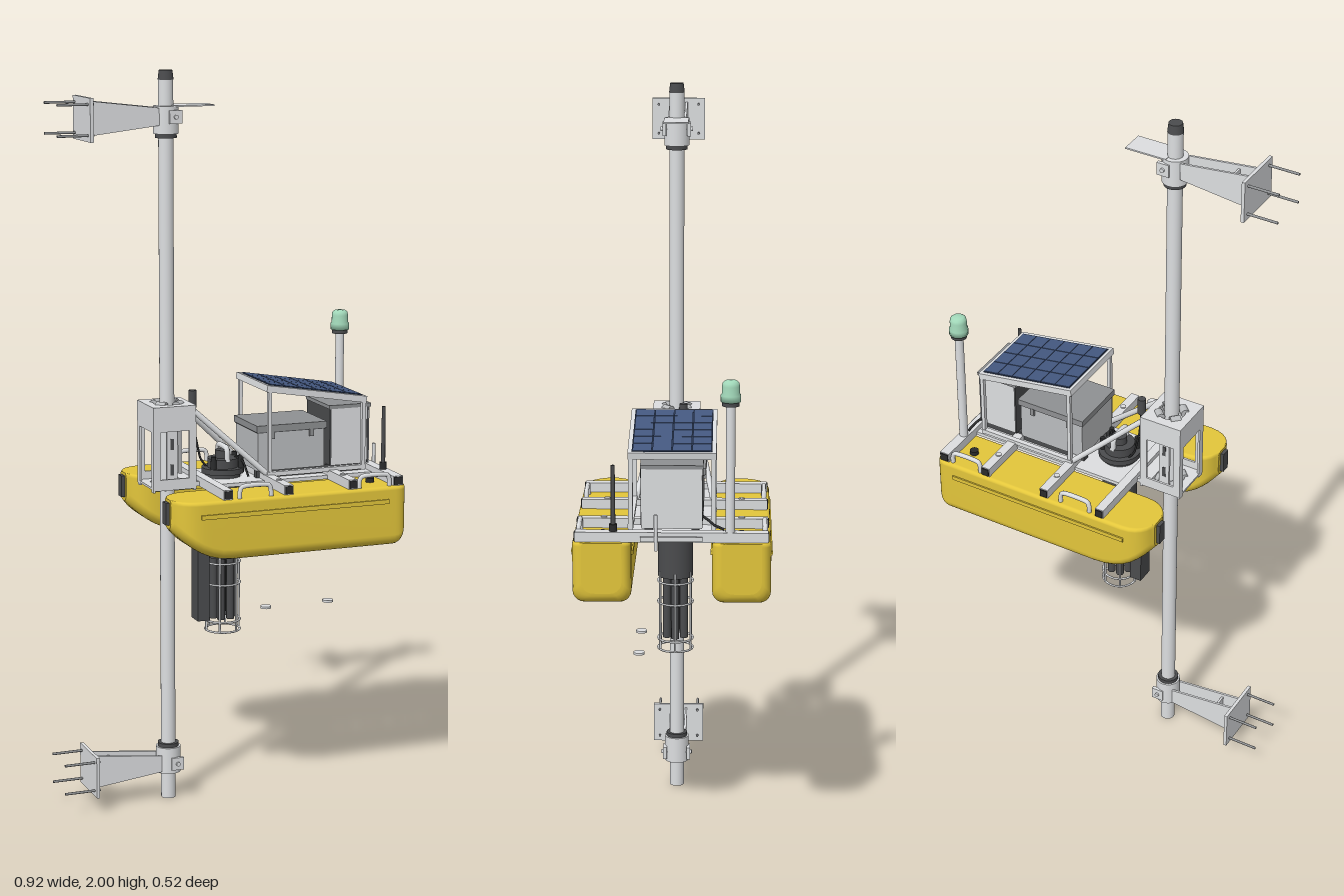
import * as THREE from 'three';

const M = {};
for (const [name, color] of Object.entries({
  hullYellow: 0xe3c63b, lightMetal: 0xdcdee0, midGrey: 0xbabcbe, lidGrey: 0x8e9092, darkGrey: 0x4b4c4e,
  black: 0x2a2b2c, cellBlue: 0x445880, gridDark: 0x26334d, lampGreen: 0xa3dabb,
})) M[name] = new THREE.MeshStandardMaterial({ name, color });
M.lightMetal.side = THREE.DoubleSide;

const V = (x, y, z) => new THREE.Vector3(x, y, z);
const V2 = pts => pts.map(p => new THREE.Vector2(...p));

function add(parent, name, geo, mat, x = 0, y = 0, z = 0) {
  const m = new THREE.Mesh(geo, mat);
  m.name = name;
  m.position.set(x, y, z);
  parent.add(m);
  return m;
}
const box = (p, name, mat, sx, sy, sz, x, y, z) => add(p, name, new THREE.BoxGeometry(sx, sy, sz), mat, x, y, z);
// upright cylinder from y0 to y1
const cyl = (p, name, mat, r, y0, y1, x, z, r2 = r, seg = 24) =>
  add(p, name, new THREE.CylinderGeometry(r2, r, y1 - y0, seg), mat, x, (y0 + y1) / 2, z);
// round bar between two points
function rod(p, name, mat, r, a, b, seg = 10) {
  const d = b.clone().sub(a);
  const m = add(p, name, new THREE.CylinderGeometry(r, r, d.length(), seg), mat);
  m.position.copy(a).addScaledVector(d, 0.5);
  m.quaternion.setFromUnitVectors(V(0, 1, 0), d.normalize());
  return m;
}
function ring(p, name, mat, R, r, x, y, z) {
  const m = add(p, name, new THREE.TorusGeometry(R, r, 6, 24), mat, x, y, z);
  m.rotation.x = Math.PI / 2;
  return m;
}
const tube = (p, name, mat, r, pts, tension = 0.2) =>
  add(p, name, new THREE.TubeGeometry(new THREE.CatmullRomCurve3(pts, false, 'catmullrom', tension), 28, r, 8), mat);
const extrude = (shape, depth) => new THREE.ExtrudeGeometry(shape, { depth, bevelEnabled: false, curveSegments: 24 });

// pontoon hull: rounded-rectangle sections swept along x
function hullGeometry() {
  const x0 = -0.207, x1 = 0.455, top = 0.89, bottom = 0.725, half = 0.076;
  const xs = [0, 0.002, 0.006, 0.013, 0.023, 0.036, 0.053, 0.075, 0.1, 0.13, 0.165].map(d => x0 + d)
    .concat([0.05, 0.035, 0.025, 0.016, 0.009, 0.004, 0.001, 0].map(d => x1 - d));
  const round = (d, R, p) => d >= R ? 1 : Math.pow(1 - Math.pow(1 - d / R, p), 1 / p);
  const pos = [], idx = [], loops = xs.map(x => {
    const w = half * Math.max(0.3, round(x - x0, 0.08, 2.3)) * (0.68 + 0.32 * round(x1 - x, 0.03, 2));
    const t = Math.max(0, 1 - (x - x0) / 0.165);
    const b = bottom + 0.085 * Math.pow(t, 2.2) + 0.03 * (1 - round(x1 - x, 0.035, 2));
    const loop = [];
    for (const [sz, sy, q] of [[1, 1, 0], [1, -1, 1], [-1, -1, 2], [-1, 1, 3]]) {
      const r = Math.min(sy > 0 ? 0.01 : 0.03, w * 0.8);
      for (let k = 0; k <= 5; k++) {
        const a = (q + k / 5) * Math.PI / 2;
        loop.push([x, (sy > 0 ? top - r : b + r) + r * Math.cos(a), sz * (w - r) + r * Math.sin(a)]);
      }
    }
    return loop;
  });
  const n = loops[0].length;
  loops.forEach(l => l.forEach(p => pos.push(...p)));
  for (let i = 0; i < xs.length - 1; i++) for (let j = 0; j < n; j++) {
    const a = i * n + j, b = i * n + (j + 1) % n;
    idx.push(a, b, b + n, a, b + n, a + n);
  }
  // end caps with their own vertices
  for (const [loop, flip] of [[loops[0], true], [loops[xs.length - 1], false]]) {
    const c = pos.length / 3;
    pos.push(loop[0][0], 0.84, 0);
    loop.forEach(p => pos.push(...p));
    for (let j = 0; j < n; j++) {
      const a = c + 1 + j, b = c + 1 + (j + 1) % n;
      idx.push(c, flip ? b : a, flip ? a : b);
    }
  }
  const g = new THREE.BufferGeometry();
  g.setAttribute('position', new THREE.Float32BufferAttribute(pos, 3));
  g.setIndex(idx);
  g.computeVertexNormals();
  return g;
}

// wall bracket clamped on the pole; s = 1 upper, -1 lower (mirrored in height)
function wallBracket(s) {
  const g = new THREE.Group(), px = -0.143;
  box(g, 'wallPlate', M.lightMetal, 0.009, 0.114, 0.145, -0.371, 0, 0);
  const arm = new THREE.Shape(V2([[-0.368, 0.047], [-0.368, -0.045], [-0.17, -0.022], [-0.17, 0.024]]));
  for (const z of [-0.022, 0.022]) add(g, 'taperedArm', extrude(arm, 0.006), M.lightMetal, 0, 0, z - 0.003);
  box(g, 'armBrace', M.lightMetal, 0.006, 0.06, 0.04, -0.312, 0, 0);
  for (const y of [-0.04, 0.04]) for (const z of [-0.055, 0.055])
    rod(g, 'anchorStud', M.lidGrey, 0.0035, V(-0.46, y, z), V(-0.36, y, z));
  const lo = s > 0 ? -0.045 : -0.028, hi = s > 0 ? 0.028 : 0.045;
  cyl(g, 'clampCollar', M.lightMetal, 0.034, lo, hi, px, 0);
  cyl(g, 'collarRim', M.darkGrey, 0.029, s > 0 ? -0.056 : 0.045, s > 0 ? -0.045 : 0.056, px, 0);
  for (const z of [-0.033, 0.033]) box(g, 'clampLug', M.lightMetal, 0.035, 0.035, 0.01, px + 0.015, 0, z);
  rod(g, 'clampBolt', M.lightMetal, 0.006, V(px + 0.015, 0, -0.043), V(px + 0.015, 0, 0.043));
  return g;
}

export function createModel() {
  const root = new THREE.Group();
  root.name = 'mooredMonitoringFloat';
  const group = name => { const g = new THREE.Group(); g.name = name; root.add(g); return g; };
  const px = -0.143;

  // mooring pole and its wall brackets
  const pole = group('mooringPole');
  cyl(pole, 'poleTube', M.lightMetal, 0.02, 0, 1.98, px, 0, 0.02, 32);
  cyl(pole, 'poleCap', M.darkGrey, 0.021, 1.975, 2, px, 0, 0.018);
  for (const [s, y, name] of [[1, 1.879, 'upperBracket'], [-1, 0.103, 'lowerBracket']]) {
    const b = wallBracket(s);
    b.name = name;
    b.position.y = y;
    root.add(b);
  }
  box(pole, 'topPlate', M.lightMetal, 0.115, 0.004, 0.066, -0.076, 1.907, 0);

  // pontoons with rails, plugs, handles
  const hull = hullGeometry();
  for (const s of [-1, 1]) {
    const p = group(s > 0 ? 'frontPontoon' : 'rearPontoon');
    add(p, 'hull', hull, M.hullYellow, 0, 0, s * 0.18);
    for (const k of [-1, 1])
      box(p, 'rubbingStrip', M.hullYellow, 0.54, 0.012, 0.006, 0.13, 0.85, s * 0.18 + k * 0.077);
    box(p, 'endPlug', M.darkGrey, 0.014, 0.06, 0.026, -0.21, 0.852, s * 0.18);
    cyl(p, 'fillerCap', M.black, 0.012, 0.885, 0.902, 0.377, s * 0.18);
    for (const x of [0.018, 0.363]) {
      const z = s * 0.24, h = 0.922;
      tube(p, 'handle', M.lightMetal, 0.0065, [V(x - 0.045, 0.885, z), V(x - 0.043, 0.912, z), V(x - 0.03, h, z),
        V(x + 0.03, h, z), V(x + 0.043, 0.912, z), V(x + 0.045, 0.885, z)], 0.5);
    }
  }

  // deck frame
  const deck = group('deckFrame');
  for (const [x, w] of [[-0.062, 0.025], [0.111, 0.025], [0.297, 0.025], [0.43, 0.028]]) {
    box(deck, 'crossBeam', M.lightMetal, w, 0.026, 0.496, x, 0.903, 0);
    for (const s of [-1, 1]) {
      box(deck, 'beamEnd', M.black, w * 0.85, 0.021, 0.004, x, 0.903, s * 0.249);
      if (x > 0.1 && x < 0.3) cyl(deck, 'beamBolt', M.lightMetal, 0.008, 0.914, 0.919, x, s * 0.18);
    }
  }
  // deck plate with a round well for the probe
  const plate = new THREE.Shape(V2([[-0.072, -0.105], [0.44, -0.105], [0.44, 0.105], [-0.072, 0.105]]));
  plate.holes.push(new THREE.Path().absarc(0.018, 0, 0.05, 0, Math.PI * 2, true));
  add(deck, 'deckPlate', extrude(plate, 0.01), M.lightMetal, 0, 0.9, 0).rotation.x = Math.PI / 2;
  box(deck, 'endStep', M.lightMetal, 0.025, 0.012, 0.16, 0.44, 0.9, 0);
  rod(deck, 'sternRod', M.lightMetal, 0.005, V(0.452, 0.87, 0.04), V(0.452, 0.965, 0.04));

  // sliding guide cage around the pole
  const cage = group('poleGuide');
  const side = new THREE.Shape(V2([[-0.205, 0.885], [-0.083, 0.885], [-0.083, 1.112], [-0.205, 1.112]]));
  side.holes.push(new THREE.Path(V2([[-0.185, 0.915], [-0.185, 1.045], [-0.103, 1.045], [-0.103, 0.915]])));
  for (const z of [-0.062, 0.062]) add(cage, 'guideSide', extrude(side, 0.006), M.lightMetal, 0, 0, z - 0.003);
  for (const x of [-0.202, -0.086]) {
    box(cage, 'guideEnd', M.lightMetal, 0.006, 0.067, 0.125, x, 1.078, 0);
    for (const z of [-0.055, 0.055]) box(cage, 'guidePost', M.lightMetal, 0.006, 0.17, 0.018, x, 0.965, z);
  }
  for (const y of [0.89, 1.11]) {
    const s = new THREE.Shape(V2([[-0.205, -0.065], [-0.083, -0.065], [-0.083, 0.065], [-0.205, 0.065]]));
    s.holes.push(new THREE.Path().absarc(px, 0, 0.038, 0, Math.PI * 2, true));
    add(cage, 'guidePlate', extrude(s, 0.006), M.lightMetal, 0, y + 0.003, 0).rotation.x = Math.PI / 2;
    for (let i = 0; i < 4; i++) {
      const a = Math.PI / 4 + i * Math.PI / 2, c = V(px + Math.cos(a) * 0.034, y - 0.002, Math.sin(a) * 0.034);
      const t = V(-Math.sin(a), 0, Math.cos(a)).multiplyScalar(0.014);
      rod(cage, 'guideRoller', M.midGrey, 0.012, c.clone().sub(t), c.clone().add(t), 14);
    }
  }
  for (const z of [-0.036, 0.036]) {
    box(cage, 'guideRail', M.lightMetal, 0.03, 0.16, 0.008, px, 0.97, z);
    for (const y of [0.935, 1.005]) box(cage, 'railSlot', M.darkGrey, 0.01, 0.03, 0.004, px, y, z * 1.09);
  }
  box(cage, 'deckTie', M.lightMetal, 0.05, 0.012, 0.13, -0.085, 0.897, 0);
  cyl(cage, 'sensorHead', M.darkGrey, 0.011, 1.09, 1.138, -0.062, -0.02);
  tube(cage, 'sensorCable', M.black, 0.003, [V(-0.062, 1.1, -0.02), V(-0.055, 1.02, -0.02), V(-0.04, 0.95, -0.02), V(-0.02, 0.92, -0.02)]);
  for (const s of [-1, 1]) rod(cage, 'diagonalStrut', M.lightMetal, 0.008, V(-0.085, 1.095, s * 0.053), V(0.115, 0.91, s * 0.105));

  // probe well, winch head and hanging cage
  const probe = group('probeAssembly'), cx = 0.018;
  cyl(probe, 'wellTube', M.darkGrey, 0.048, 0.675, 0.915, cx, 0, 0.048, 32);
  cyl(probe, 'wellFlange', M.darkGrey, 0.058, 0.91, 0.925, cx, 0, 0.058, 32);
  cyl(probe, 'wellHead', M.darkGrey, 0.042, 0.925, 0.95, cx, 0);
  cyl(probe, 'headFitting', M.darkGrey, 0.02, 0.945, 0.972, cx, 0);
  tube(probe, 'headGrip', M.lightMetal, 0.008, [V(cx, 0.945, -0.037), V(cx, 0.975, -0.033), V(cx, 0.982, -0.02),
    V(cx, 0.982, 0.02), V(cx, 0.975, 0.033), V(cx, 0.945, 0.037)], 0.5);
  for (const [x, z] of [[0.06, -0.02], [0.06, 0.03], [-0.02, 0.03]]) cyl(probe, 'cableGland', M.black, 0.009, 0.92, 0.96, x, z, 0.007, 12);
  tube(probe, 'probeCable', M.black, 0.003, [V(0.05, 0.945, 0.0), V(0.055, 0.955, 0.02), V(0.062, 0.94, 0.045), V(0.068, 0.905, 0.065)]);
  box(probe, 'sideLogger', M.darkGrey, 0.034, 0.225, 0.05, -0.047, 0.613, 0);
  for (let i = 0; i < 6; i++) {
    const a = i * Math.PI / 3, c = Math.cos(a), s = Math.sin(a);
    cyl(probe, 'sensorTube', M.darkGrey, 0.011, 0.5, 0.69, cx + c * 0.027, s * 0.027, 0.011, 12);
    rod(probe, 'cageRod', M.lightMetal, 0.003, V(cx + c * 0.048, 0.465, s * 0.048), V(cx + c * 0.048, 0.69, s * 0.048), 6);
  }
  cyl(probe, 'centreSensor', M.black, 0.016, 0.52, 0.69, cx, 0);
  cyl(probe, 'sensorMarker', M.hullYellow, 0.005, 0.622, 0.645, cx - 0.036, -0.014, 0.005, 10);
  for (const y of [0.467, 0.495, 0.6, 0.66]) ring(probe, 'cageRing', M.lightMetal, 0.048, 0.003, cx, y, 0);

  // equipment cases
  const cases = group('equipmentCases');
  box(cases, 'batteryCase', M.midGrey, 0.195, 0.108, 0.16, 0.187, 0.975, 0);
  box(cases, 'batteryLid', M.lidGrey, 0.205, 0.018, 0.172, 0.187, 1.038, 0);
  box(cases, 'lidSeam', M.darkGrey, 0.199, 0.004, 0.165, 0.187, 1.028, 0);
  box(cases, 'controlCabinet', M.lightMetal, 0.118, 0.16, 0.156, 0.361, 1.0, 0);
  box(cases, 'cabinetLid', M.lidGrey, 0.124, 0.01, 0.162, 0.361, 1.083, 0);
  for (const x of [0.304, 0.415]) box(cases, 'cabinetSeam', M.darkGrey, 0.005, 0.157, 0.159, x, 1.0, 0);
  for (const x of [0.13, 0.245]) for (const z of [-0.084, 0.084]) box(cases, 'latch', M.lidGrey, 0.012, 0.022, 0.006, x, 1.02, z);
  for (const z of [-0.06, 0.06]) box(cases, 'caseFoot', M.darkGrey, 0.32, 0.022, 0.02, 0.25, 0.911, z);

  // tilted solar panel on four legs
  const panel = group('solarPanel');
  const tilt = new THREE.Group();
  tilt.name = 'panelTop';
  tilt.position.set(0.249, 1.129, 0);
  tilt.rotation.z = -0.165;
  panel.add(tilt);
  box(tilt, 'panelFrame', M.lightMetal, 0.297, 0.018, 0.228, 0, 0, 0);
  box(tilt, 'cellBacking', M.gridDark, 0.278, 0.003, 0.207, 0, 0.009, 0);
  for (let i = 0; i < 6; i++) for (let j = 0; j < 4; j++)
    box(tilt, 'solarCell', M.cellBlue, 0.0435, 0.003, 0.0487, (i - 2.5) * 0.046, 0.0105, (j - 1.5) * 0.0512);
  for (const s of [-1, 1]) {
    box(panel, 'frontLeg', M.lightMetal, 0.01, 0.235, 0.012, 0.112, 1.028, s * 0.107);
    box(panel, 'rearLeg', M.lightMetal, 0.01, 0.19, 0.012, 0.388, 1.005, s * 0.107);
    box(panel, 'legRail', M.lightMetal, 0.29, 0.012, 0.014, 0.249, 0.918, s * 0.107);
  }

  // signal lamp mast and whip antenna
  const mast = group('lampMast'), mx = 0.43, mz = -0.15;
  cyl(mast, 'mastTube', M.lightMetal, 0.012, 0.9, 1.25, mx, mz);
  cyl(mast, 'lampBase', M.darkGrey, 0.022, 1.247, 1.258, mx, mz);
  const lamp = [[0, 1.258], [0.026, 1.258], [0.026, 1.275], [0.023, 1.279], [0.023, 1.298], [0.021, 1.307], [0.015, 1.312], [0, 1.313]];
  add(mast, 'lampLens', new THREE.LatheGeometry(V2(lamp), 24), M.lampGreen, mx, 0, mz);
  tube(mast, 'lampCable', M.black, 0.0035, [V(0.425, 0.92, -0.135), V(0.42, 0.93, -0.11), V(0.41, 0.94, -0.095), V(0.4, 0.95, -0.078)]);
  const aerial = group('whipAntenna');
  cyl(aerial, 'antennaBase', M.black, 0.01, 0.915, 0.935, 0.43, 0.15);
  cyl(aerial, 'antennaRod', M.darkGrey, 0.006, 0.93, 1.09, 0.43, 0.15, 0.005, 10);

  // two loose discs below the hulls
  for (const x of [0.11, 0.295]) cyl(root, 'hangingDisc', M.lightMetal, 0.015, 0.539, 0.545, x, 0.09);
  return root;
}
